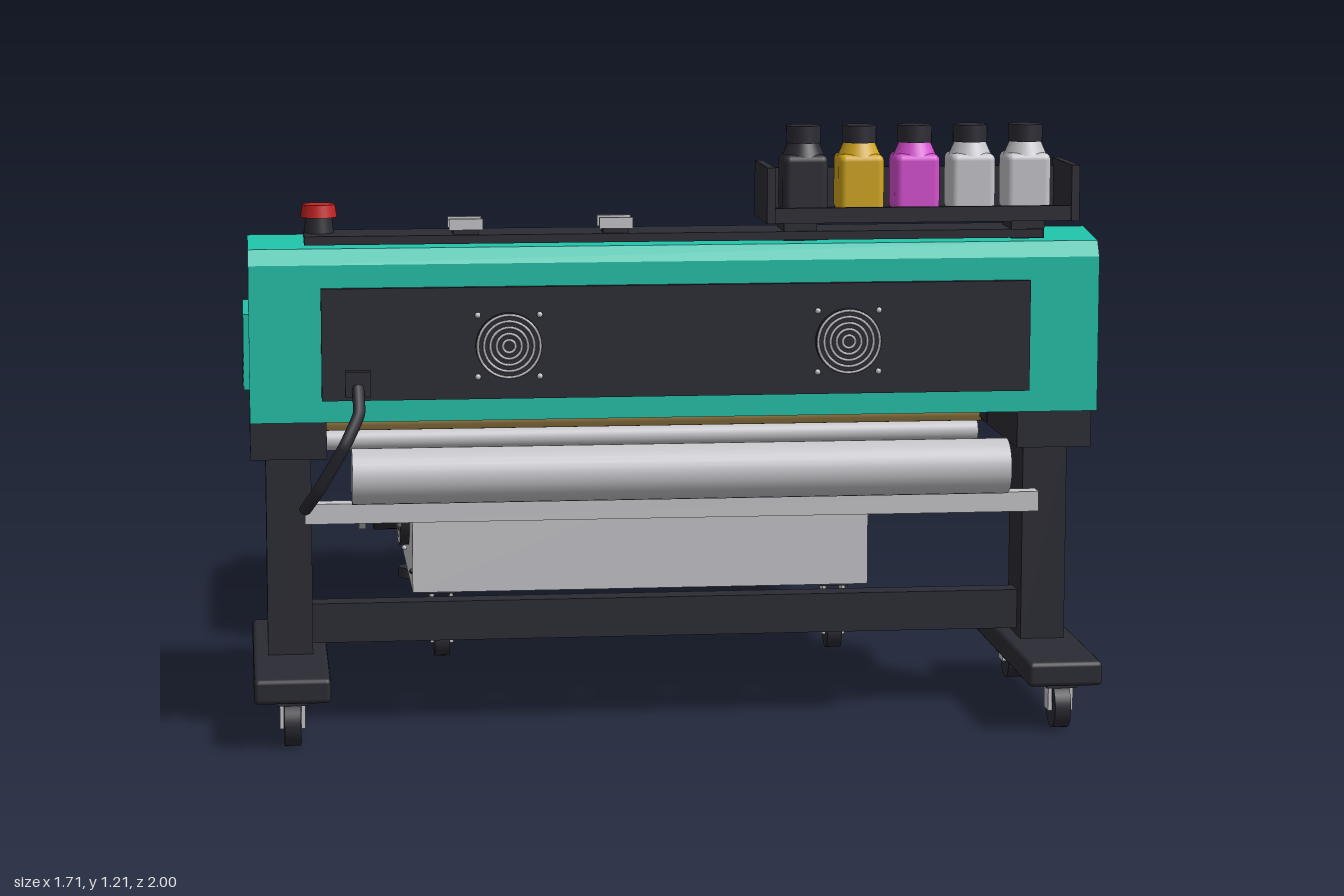
import * as THREE from 'three';
import { RoundedBoxGeometry } from 'three/addons/geometries/RoundedBoxGeometry.js';

export function createModel() {
  const root = new THREE.Group();
  const mat = (name, color, side = THREE.FrontSide) => {
    const m = new THREE.MeshStandardMaterial({ color, side });
    m.name = name;
    return m;
  };
  const teal = mat('teal', 0x20c2aa), grey = mat('lightGrey', 0xc6c6cb, THREE.DoubleSide), dark = mat('charcoal', 0x2b2b34);
  const glass = mat('tintedGlass', 0x24504f), yellow = mat('yellow', 0xd2a61e), pink = mat('magenta', 0xd64fd0);
  const blue = mat('violetBlue', 0x7b74e4), tan = mat('tan', 0xc4a15c), red = mat('red', 0xc42222);

  const add = (name, geo, m, x = 0, y = 0, z = 0, parent = root) => {
    const mesh = new THREE.Mesh(geo, m);
    mesh.name = name;
    mesh.position.set(x, y, z);
    parent.add(mesh);
    return mesh;
  };
  // box given by its min and max on each axis
  const box = (name, m, x0, x1, y0, y1, z0, z1, parent = root) =>
    add(name, new THREE.BoxGeometry(x1 - x0, y1 - y0, z1 - z0), m, (x0 + x1) / 2, (y0 + y1) / 2, (z0 + z1) / 2, parent);
  // cylinder along x / along y
  const rodX = (name, m, r, len, x, y, z, parent = root) =>
    add(name, new THREE.CylinderGeometry(r, r, len, 32).rotateZ(Math.PI / 2), m, x, y, z, parent);
  const post = (name, m, r0, r1, y0, y1, x, z, parent = root) =>
    add(name, new THREE.CylinderGeometry(r1, r0, y1 - y0, 32), m, x, (y0 + y1) / 2, z, parent);
  // side profile of [z, y] points, extruded across x
  const profile = (name, m, pts, width) => {
    const s = new THREE.Shape(pts.map(([z, y]) => new THREE.Vector2(-z, y)));
    const g = new THREE.ExtrudeGeometry(s, { depth: width, bevelEnabled: false });
    return add(name, g.translate(0, 0, -width / 2).rotateY(Math.PI / 2), m);
  };
  const tube = (name, m, pts, r, tension = 0.2) => {
    const c = new THREE.CatmullRomCurve3(pts.map(p => new THREE.Vector3(...p)), false, 'catmullrom', tension);
    return add(name, new THREE.TubeGeometry(c, 48, r, 8), m);
  };
  // round fan grille facing +z
  const fan = (name, r, disc) => {
    const g = new THREE.Group();
    g.name = name;
    if (disc) add('fanDisc', new THREE.CylinderGeometry(r, r, 0.025, 40).rotateX(Math.PI / 2), dark, 0, 0, 0, g);
    for (let i = 1; i <= 5; i++)
      add('fanRing', new THREE.TorusGeometry(r * i / 5.3, 0.0026, 6, 40), grey, 0, 0, 0.013, g);
    for (let i = 0; i < 4; i++) {
      const a = Math.PI / 4 + i * Math.PI / 2;
      add('fanScrew', new THREE.SphereGeometry(0.006, 8, 6), grey, Math.cos(a) * r * 1.32, Math.sin(a) * r * 1.32, 0.004, g);
    }
    root.add(g);
    return g;
  };
  const caster = (x, z, r, top) => {
    const g = new THREE.Group();
    g.name = 'caster';
    rodX('wheel', dark, r, 0.032, 0, r, 0, g);
    for (const s of [-1, 1]) box('fork', grey, s * 0.021 - 0.004, s * 0.021 + 0.004, r * 0.8, top - 0.01, -0.02, 0.02, g);
    box('forkPlate', dark, -0.03, 0.03, top - 0.015, top, -0.03, 0.03, g);
    g.position.set(x, 0, z);
    root.add(g);
  };

  // ---- printer body ----
  profile('printerBody', teal, [[0.905, 0.636], [0.905, 0.945], [0.885, 0.975], [0.75, 0.99], [0.52, 0.87], [0.473, 0.636]], 1.68);
  box('topStrip', dark, -0.73, 0.73, 0.982, 0.999, 0.755, 0.885);
  box('frontPanel', dark, -0.7, 0.7, 0.68, 0.9, 0.9, 0.918);
  for (const x of [-0.335, 0.335]) fan('printerFan', 0.065, true).position.set(x, 0.785, 0.918);
  // sloped lid window and control screen
  const slope = new THREE.Group();
  slope.name = 'slopedTop';
  slope.position.set(0, 0.93, 0.635);
  slope.rotation.x = -Math.atan2(0.12, 0.23);
  root.add(slope);
  box('window', glass, -0.54, 0.535, 0, 0.008, -0.07, 0.06, slope);
  box('screenFrame', dark, -0.76, -0.645, 0, 0.018, -0.105, 0.085, slope);
  box('screen', yellow, -0.743, -0.662, 0.018, 0.022, -0.055, 0.035, slope);
  // rear face plate
  const rear = new THREE.Group();
  rear.name = 'rearFace';
  rear.position.set(0, 0.753, 0.4965);
  rear.rotation.x = Math.atan2(0.047, 0.234);
  root.add(rear);
  box('rearPlate', grey, -0.69, 0.69, -0.05, 0.085, -0.016, 0, rear);
  box('rearRail', dark, -0.7, 0.7, -0.12, -0.05, -0.025, 0, rear);
  for (let i = 0; i < 9; i++) add('plateScrew', new THREE.SphereGeometry(0.006, 8, 6), dark, -0.64 + i * 0.16, 0.05, -0.016, rear);
  add('rearKnob', new THREE.CylinderGeometry(0.022, 0.022, 0.03, 20).rotateX(Math.PI / 2), tan, -0.74, -0.02, -0.012, rear);
  box('rearSocket', blue, -0.765, -0.72, -0.1, -0.06, -0.008, 0, rear);
  // side panels with vents
  for (const s of [-1, 1]) {
    box('sidePanel', teal, s * 0.845 - 0.006, s * 0.845 + 0.006, 0.69, 0.84, 0.575, 0.82);
    box('sidePanelLatch', dark, s * 0.85 - 0.003, s * 0.85 + 0.003, 0.755, 0.79, 0.692, 0.703);
    for (const z of [0.8, 0.6]) for (let i = 0; i < 4; i++)
      box('vent', dark, s * 0.851 - 0.002, s * 0.851 + 0.002, 0.698 + i * 0.016, 0.707 + i * 0.016, z - 0.019, z + 0.019);
  }
  // emergency button and top clips
  post('buttonBase', dark, 0.03, 0.026, 0.995, 1.03, -0.7, 0.805);
  post('emergencyButton', red, 0.036, 0.032, 1.03, 1.055, -0.7, 0.805);
  for (const x of [-0.415, -0.12]) {
    box('clipBase', dark, x - 0.025, x + 0.025, 0.995, 1.012, 0.825, 0.875);
    for (const z of [0.825, 0.875]) box('clipPlate', grey, x - 0.033, x + 0.033, 1.008, 1.03, z - 0.004, z + 0.004);
  }

  // ---- ink shelf and bottles ----
  box('shelfFloor', dark, 0.18, 0.78, 1.02, 1.035, 0.757, 0.935);
  box('shelfBack', dark, 0.18, 0.78, 1.02, 1.115, 0.757, 0.77);
  box('shelfFrontLip', dark, 0.18, 0.78, 1.02, 1.05, 0.925, 0.935);
  box('shelfLabel', grey, 0.38, 0.6, 1.05, 1.085, 0.752, 0.757);
  for (const x of [0.178, 0.782]) box('shelfEnd', dark, x - 0.008, x + 0.008, 1.02, 1.13, 0.757, 0.94);
  for (const x of [0.245, 0.7]) box('shelfFoot', dark, x - 0.033, x + 0.033, 0.98, 1.02, 0.79, 0.88);
  [dark, yellow, pink, grey, grey].forEach((m, i) => {
    const x = 0.253 + i * 0.111;
    add('inkBottle', new RoundedBoxGeometry(0.09, 0.115, 0.09, 3, 0.014), m, x, 1.093, 0.855);
    post('bottleShoulder', m, 0.043, 0.031, 1.145, 1.172, x, 0.855);
    post('bottleCap', dark, 0.034, 0.034, 1.172, 1.206, x, 0.855);
  });

  // ---- stand ----
  for (const s of [-1, 1]) {
    box('standBracket', dark, s * 0.765 - 0.075, s * 0.765 + 0.075, 0.555, 0.637, 0.478, 0.853);
    box('standLeg', dark, s * 0.765 - 0.045, s * 0.765 + 0.045, 0.14, 0.56, 0.64, 0.77);
    add('standFoot', new RoundedBoxGeometry(0.15, 0.05, 0.59, 2, 0.01), dark, s * 0.765, 0.121, 0.705);
    for (const z of [0.933, 0.473]) caster(s * 0.765, z, 0.047, 0.1);
    box('rollArm', dark, s * 0.7 - 0.012, s * 0.7 + 0.012, 0.56, 0.62, 0.43, 0.55);
  }
  box('crossBeam', dark, -0.73, 0.73, 0.16, 0.24, 0.68, 0.73);
  box('frontBar', grey, -0.735, 0.73, 0.43, 0.47, 0.842, 0.88);
  rodX('frontFilmRoll', grey, 0.055, 1.295, 0.003, 0.535, 0.945);
  rodX('feedRoller', tan, 0.03, 1.42, 0, 0.578, 0.448);
  rodX('tensionRoller', grey, 0.022, 1.38, 0, 0.525, 0.43);
  // pinch clamps along the feed roller
  for (let i = 0; i < 10; i++) {
    const x = -0.625 + i * 0.139;
    box('clampBody', dark, x - 0.035, x + 0.035, 0.61, 0.645, 0.415, 0.49);
    box('clampTop', grey, x - 0.021, x + 0.021, 0.645, 0.652, 0.405, 0.46);
    rodX('clampWheel', dark, 0.013, 0.05, x, 0.617, 0.412);
  }
  // power cord
  box('cordPlug', dark, -0.655, -0.605, 0.69, 0.74, 0.91, 0.94);
  tube('powerCord', dark, [[-0.63, 0.71, 0.935], [-0.63, 0.66, 0.965], [-0.66, 0.6, 0.99], [-0.71, 0.51, 0.96], [-0.735, 0.462, 0.895]], 0.012);

  // ---- dryer ----
  profile('dryerBody', grey, [[0.217, 0.155], [0.217, 0.545], [-0.705, 0.52], [-0.705, 0.155]], 0.99);
  profile('dryerLid', grey, [[0.22, 0.538], [0.22, 0.695], [-0.484, 0.695], [-0.712, 0.572], [-0.712, 0.513]], 1.026);
  box('lidPlate', teal, -0.31, 0.31, 0.693, 0.702, 0.07, 0.167);
  box('entrySlot', dark, -0.385, 0.385, 0.535, 0.575, 0.21, 0.229);
  box('exitSlot', dark, -0.385, 0.385, 0.465, 0.53, -0.72, -0.7);
  // chimney
  post('chimneyFlange', grey, 0.07, 0.07, 0.695, 0.711, 0, -0.165);
  const pipe = new THREE.LatheGeometry([[0.052, 0], [0.052, 0.12], [0.055, 0.12], [0.055, 0.13], [0.045, 0.13], [0.045, 0.02]].map(p => new THREE.Vector2(...p)), 40);
  add('chimney', pipe.toNonIndexed(), grey, 0, 0.7, -0.165).geometry.computeVertexNormals();
  post('chimneyInside', dark, 0.045, 0.045, 0.72, 0.8, 0, -0.165);
  // sides: handle, lever, fan, door
  for (const s of [-1, 1]) {
    tube('sideHandle', dark, [[s * 0.51, 0.563, -0.06], [s * 0.548, 0.563, -0.075], [s * 0.548, 0.563, -0.365], [s * 0.51, 0.563, -0.38]], 0.012, 0.05);
    rodX('leverPivot', dark, 0.02, 0.03, s * 0.525, 0.565, -0.365);
    box('lever', red, s * 0.53 - 0.005, s * 0.53 + 0.005, 0.558, 0.568, -0.47, -0.365);
    box('leverTip', dark, s * 0.53 - 0.006, s * 0.53 + 0.006, 0.557, 0.569, -0.515, -0.47);
    const f = fan('dryerFan', 0.075, true);
    f.position.set(s * 0.503, 0.3, 0.02);
    f.rotation.y = s * Math.PI / 2;
    box('doorGap', dark, s * 0.496 - 0.002, s * 0.496 + 0.002, 0.174, 0.403, -0.543, -0.207);
    box('door', grey, s * 0.498 - 0.003, s * 0.498 + 0.003, 0.178, 0.399, -0.539, -0.211);
    box('doorLatch', dark, s * 0.502 - 0.004, s * 0.502 + 0.004, 0.297, 0.33, -0.435, -0.33);
    for (const z of [0.18, -0.18, -0.66]) for (const y of [0.195, 0.485])
      add('rivet', new THREE.SphereGeometry(0.006, 8, 6), dark, s * 0.495, y, z);
    for (const z of [0.17, -0.1, -0.6])
      add('lidRivet', new THREE.SphereGeometry(0.006, 8, 6), dark, s * 0.513, 0.575, z);
    // wheels and levelling feet
    for (const z of [0.14, -0.597]) caster(s * 0.43, z, 0.04, 0.157);
    post('levellingFoot', dark, 0.036, 0.036, 0, 0.025, s * 0.45, -0.75);
    post('levellingRod', tan, 0.012, 0.012, 0.025, 0.15, s * 0.45, -0.75);
    // take-up roll ends
    rodX('rollChuck', dark, 0.085, 0.065, s * 0.508, 0.176, -0.892);
    const bar = box('chuckLever', red, s * 0.544 - 0.005, s * 0.544 + 0.005, 0.17, 0.186, -0.905, -0.81);
    bar.rotation.x = -0.45;
    rodX('rodFlange', grey, 0.043, 0.018, s * 0.566, 0.123, -0.955);
  }
  tube('rearHandle', dark, [[-0.15, 0.572, -0.705], [-0.148, 0.572, -0.745], [-0.12, 0.572, -0.775], [0.12, 0.572, -0.775], [0.148, 0.572, -0.745], [0.15, 0.572, -0.705]], 0.011, 0.1);
  rodX('takeUpRoll', grey, 0.07, 0.96, 0, 0.176, -0.892);
  rodX('takeUpRod', grey, 0.03, 1.13, 0, 0.123, -0.955);

  // ---- printed film ----
  const film = (name, len, y, z, tilt, rows, sv) => {
    const g = new THREE.Group();
    g.name = name;
    g.position.set(0, y, z);
    g.rotation.x = tilt;
    root.add(g);
    add('filmSheet', new THREE.PlaneGeometry(0.74, len), grey, 0, 0, 0, g);
    const blob = (label, m, x, v, rx, ry, d, hole) => {
      const s = new THREE.Shape().absellipse(x, v, rx, ry, 0, Math.PI * 2);
      if (hole) s.holes.push(new THREE.Path().absellipse(x, v + ry * 0.25, rx * 0.5, ry * 0.3, 0, Math.PI * 2));
      add(label, new THREE.ExtrudeGeometry(s, { depth: d, bevelEnabled: false, curveSegments: 10 }), m, 0, 0, -d / 2, g);
    };
    for (const v of rows) for (const [x, w] of [[-0.278, 0.085], [0.01, 0.112], [0.28, 0.085]]) {
      blob('yellowPrint', yellow, x, v, w * 0.92, 0.04 * sv, 0.006, true);
      for (const s of [-1, 1]) {
        blob('pinkPrint', pink, x + s * w * 0.55, v + 0.05 * sv, w * 0.32, 0.022 * sv, 0.005);
        blob('bluePrint', blue, x + s * w * 0.86, v + 0.034 * sv, w * 0.12, 0.015 * sv, 0.004);
      }
      blob('pinkPrintLow', pink, x - w * 0.5, v - 0.036 * sv, w * 0.25, 0.014 * sv, 0.007);
    }
  };
  film('feedFilm', 0.21, 0.578, 0.325, Math.PI / 2 - 0.28, [0.04, -0.06], 0.65);
  film('exitFilm', 0.335, 0.385, -0.812, Math.atan2(0.18, 0.28), [0.085, -0.075], 1);
  return root;
}
